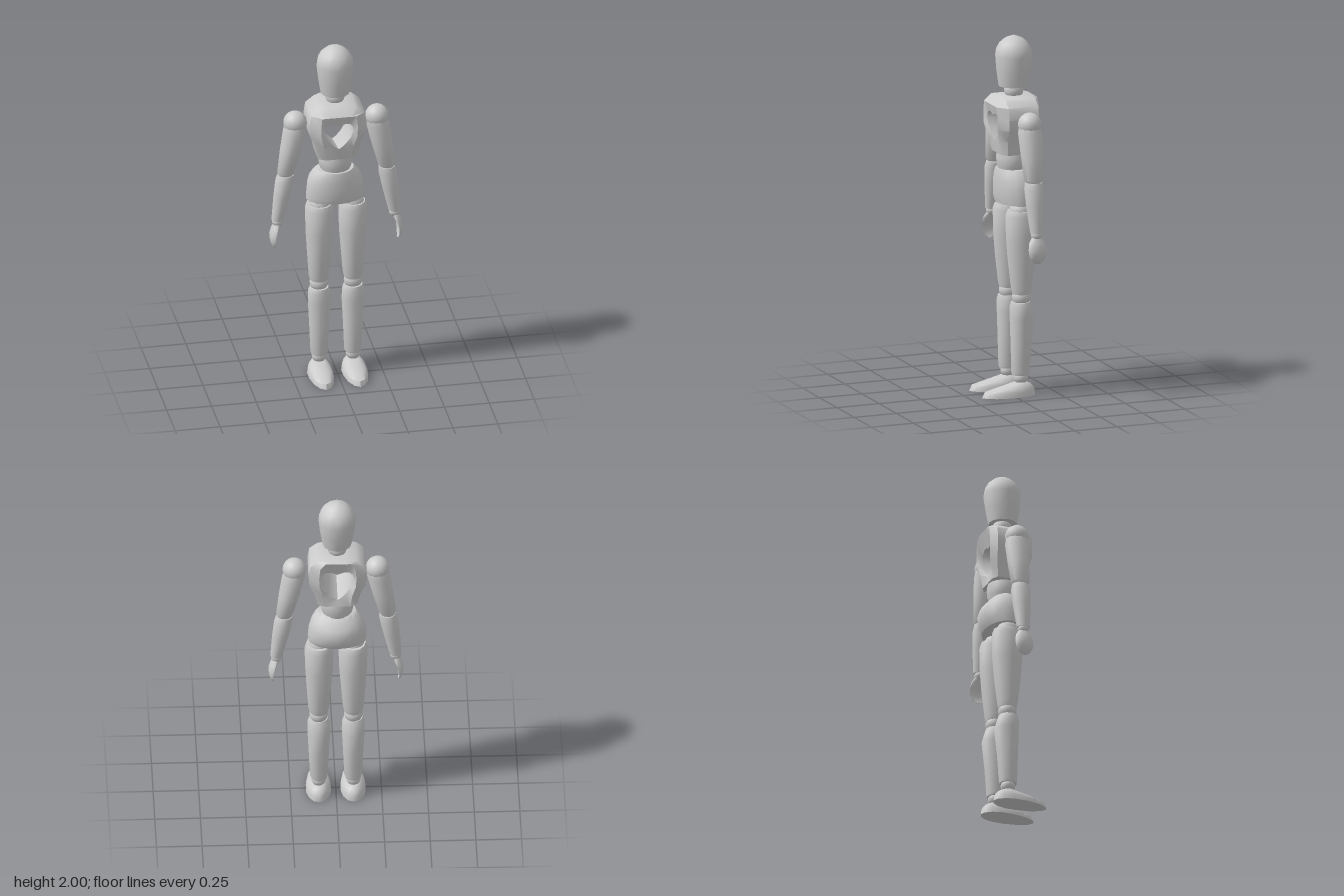
import * as THREE from 'three';
import { toCreasedNormals } from 'three/addons/utils/BufferGeometryUtils.js';

const material = new THREE.MeshStandardMaterial({ color: 0xcccccc });
const MID = -0.006; // x of head and trunk
const AXIS = -0.047; // z of the body axis

// Skin a stack of equally long point loops; empty triangles are skipped
function skin(rings, closed = false) {
  const positions = [];
  const tri = (a, b, c) => {
    if (a.distanceTo(b) > 1e-6 && b.distanceTo(c) > 1e-6 && c.distanceTo(a) > 1e-6)
      for (const p of [a, b, c]) positions.push(p.x, p.y, p.z);
  };
  const n = rings[0].length;
  for (let r = 0; r < rings.length - (closed ? 0 : 1); r++) {
    const lower = rings[r], upper = rings[(r + 1) % rings.length];
    for (let i = 0; i < n; i++) {
      const j = (i + 1) % n;
      tri(lower[i], lower[j], upper[j]);
      tri(lower[i], upper[j], upper[i]);
    }
  }
  const geometry = new THREE.BufferGeometry();
  geometry.setAttribute('position', new THREE.Float32BufferAttribute(positions, 3));
  return toCreasedNormals(geometry, 0.85);
}

// Capped loft, bottom to top: [y, x, z, halfWidth, front, back, innerWidth]
function loft(sections, side = 1, n = 12) {
  const rings = sections.map(([y, x, z, w, front = w, back = front, inner = w]) =>
    Array.from({ length: n }, (_, i) => {
      const a = (i / n) * Math.PI * 2;
      const sx = Math.sin(a), cz = Math.cos(a);
      return new THREE.Vector3(side * x + sx * (sx * side > 0 ? w : inner), y, z + cz * (cz > 0 ? front : back));
    }));
  const cap = (ring) => {
    const c = ring.reduce((s, p) => s.add(p), new THREE.Vector3()).divideScalar(n);
    return ring.map(() => c);
  };
  return skin([cap(rings[0]), ...rings, cap(rings[rings.length - 1])]);
}

// Chest: rings run from the heart opening round the outside and back through it
function chestGeometry() {
  const heart = [[0, 1.563], [0.03, 1.575], [0.06, 1.575], [0.08, 1.555], [0.082, 1.53],
    [0.065, 1.49], [0.04, 1.455], [0.015, 1.43], [0, 1.42]];
  const outline = [[0, 1.67], [0.05, 1.67], [0.105, 1.66], [0.15, 1.625], [0.16, 1.56],
    [0.155, 1.5], [0.125, 1.43], [0.108, 1.35], [0, 1.35]];
  const ring = (half, place) => {
    const right = half.map(([x, y]) => new THREE.Vector3(...place(x, y)));
    const left = right.slice(1, -1).reverse().map((p) => new THREE.Vector3(-p.x, p.y, p.z));
    return [...right, ...left];
  };
  const low = (y) => Math.max(0, (1.5 - y) / 0.15);
  return skin([
    ring(heart, (x, y) => [x, y, 0.075 - 0.015 * low(y)]),
    ring(outline, (x, y) => [x * 0.64, Math.min(y, 1.625), 0.09 - 0.035 * low(y)]),
    ring(outline, (x, y) => [x, y, 0.042 - 0.01 * low(y)]),
    ring(outline, (x, y) => [x, y, -0.132 + 0.02 * low(y)]),
    ring(outline, (x, y) => [x * 0.64, Math.min(y, 1.66), -0.157 + 0.025 * low(y)]),
    ring(heart, (x, y) => [x * 1.1, 1.56 + (y - 1.56) * 1.22, -0.125]),
  ], true);
}

export function createModel() {
  const model = new THREE.Group();
  model.name = 'artistMannequin';
  const add = (name, geometry, parent = model) => {
    const mesh = new THREE.Mesh(geometry, material);
    mesh.name = name;
    parent.add(mesh);
    return mesh;
  };
  const ball = (name, r, x, y, z, parent, squash = 1) => {
    const mesh = add(name, new THREE.SphereGeometry(r, 20, 14), parent);
    mesh.position.set(x, y, z);
    mesh.scale.y = squash;
  };

  // Head and trunk
  add('head', loft([
    [1.72, MID, -0.042, 0.08], [1.8, MID, -0.044, 0.093], [1.89, MID, AXIS, 0.103],
    [1.925, MID, AXIS, 0.098], [1.96, MID, AXIS, 0.079], [1.985, MID, AXIS, 0.05], [2, MID, AXIS, 0.012],
  ]));
  ball('neck', 0.053, MID, 1.695, AXIS, model);
  add('chest', chestGeometry()).position.x = MID;
  add('waist', loft([
    [1.24, MID, -0.04, 0.075, 0.075], [1.28, MID, -0.04, 0.09, 0.087],
    [1.32, MID, -0.04, 0.094, 0.09], [1.36, MID, -0.04, 0.085, 0.085],
  ], 1, 16));
  add('pelvis', loft([
    [1.07, MID, -0.05, 0.16, 0.1, 0.1], [1.1, MID, -0.05, 0.161, 0.108, 0.12],
    [1.16, MID, -0.05, 0.156, 0.11, 0.13], [1.2, MID, -0.05, 0.146, 0.11, 0.116],
    [1.235, MID, -0.05, 0.127, 0.108, 0.085], [1.26, MID, -0.05, 0.105, 0.103, 0.062],
  ], 1, 16));

  for (const [label, s] of [['left', 1], ['right', -1]]) {
    // Arm
    const arm = new THREE.Group();
    arm.name = label + 'Arm';
    model.add(arm);
    ball('shoulder', 0.065, s * 0.228, 1.55, AXIS, arm);
    add('upperArm', loft([
      [1.235, 0.283, AXIS, 0.04], [1.25, 0.281, AXIS, 0.047, 0.052], [1.38, 0.256, AXIS, 0.058, 0.062],
      [1.5, 0.233, AXIS, 0.064, 0.068], [1.535, 0.228, AXIS, 0.06, 0.062],
    ], s), arm);
    ball('elbow', 0.042, s * 0.281, 1.235, AXIS, arm);
    add('forearm', loft([
      [0.96, 0.326, AXIS, 0.034, 0.036], [1.1, 0.304, AXIS, 0.046, 0.05],
      [1.2, 0.288, AXIS, 0.051, 0.055], [1.235, 0.281, AXIS, 0.045, 0.048],
    ], s), arm);
    ball('wrist', 0.031, s * 0.326, 0.95, AXIS, arm);
    add('hand', loft([
      [0.79, 0.343, AXIS, 0.004, 0.012], [0.805, 0.344, AXIS, 0.014, 0.034, 0.034, -0.002],
      [0.835, 0.345, AXIS, 0.023, 0.049, 0.049, -0.006], [0.87, 0.343, AXIS, 0.028, 0.054, 0.054, -0.003],
      [0.91, 0.332, AXIS, 0.028, 0.045, 0.045, 0.012], [0.94, 0.327, AXIS, 0.02, 0.026],
    ], s), arm);

    // Leg
    const leg = new THREE.Group();
    leg.name = label + 'Leg';
    model.add(leg);
    ball('hip', 0.062, s * 0.093, 1.035, AXIS, leg);
    add('thigh', loft([
      [0.57, 0.095, -0.05, 0.05, 0.05], [0.6, 0.095, -0.05, 0.057, 0.057], [0.75, 0.094, -0.05, 0.068, 0.075],
      [0.87, 0.093, -0.05, 0.076, 0.085], [1.01, 0.093, -0.05, 0.08, 0.088], [1.04, 0.093, -0.05, 0.07, 0.077],
    ], s), leg);
    ball('knee', 0.051, s * 0.095, 0.55, -0.05, leg);
    add('shin', loft([
      [0.115, 0.094, -0.046, 0.045, 0.048], [0.13, 0.094, -0.046, 0.049, 0.051],
      [0.3, 0.094, -0.046, 0.056, 0.055, 0.064], [0.44, 0.094, -0.046, 0.063, 0.059, 0.08],
      [0.5, 0.095, -0.046, 0.062, 0.059, 0.062], [0.525, 0.095, -0.046, 0.052, 0.053],
    ], s), leg);
    ball('ankle', 0.04, s * 0.095, 0.1, AXIS, leg);
    add('foot', loft([
      [0, 0.095, -0.01, 0.07, 0.19, 0.122], [0.028, 0.095, -0.012, 0.067, 0.18, 0.116],
      [0.045, 0.095, -0.02, 0.06, 0.12, 0.1], [0.062, 0.095, -0.035, 0.046, 0.065, 0.07],
      [0.075, 0.095, AXIS, 0.03, 0.03],
    ], s, 14), leg);
  }
  return model;
}
